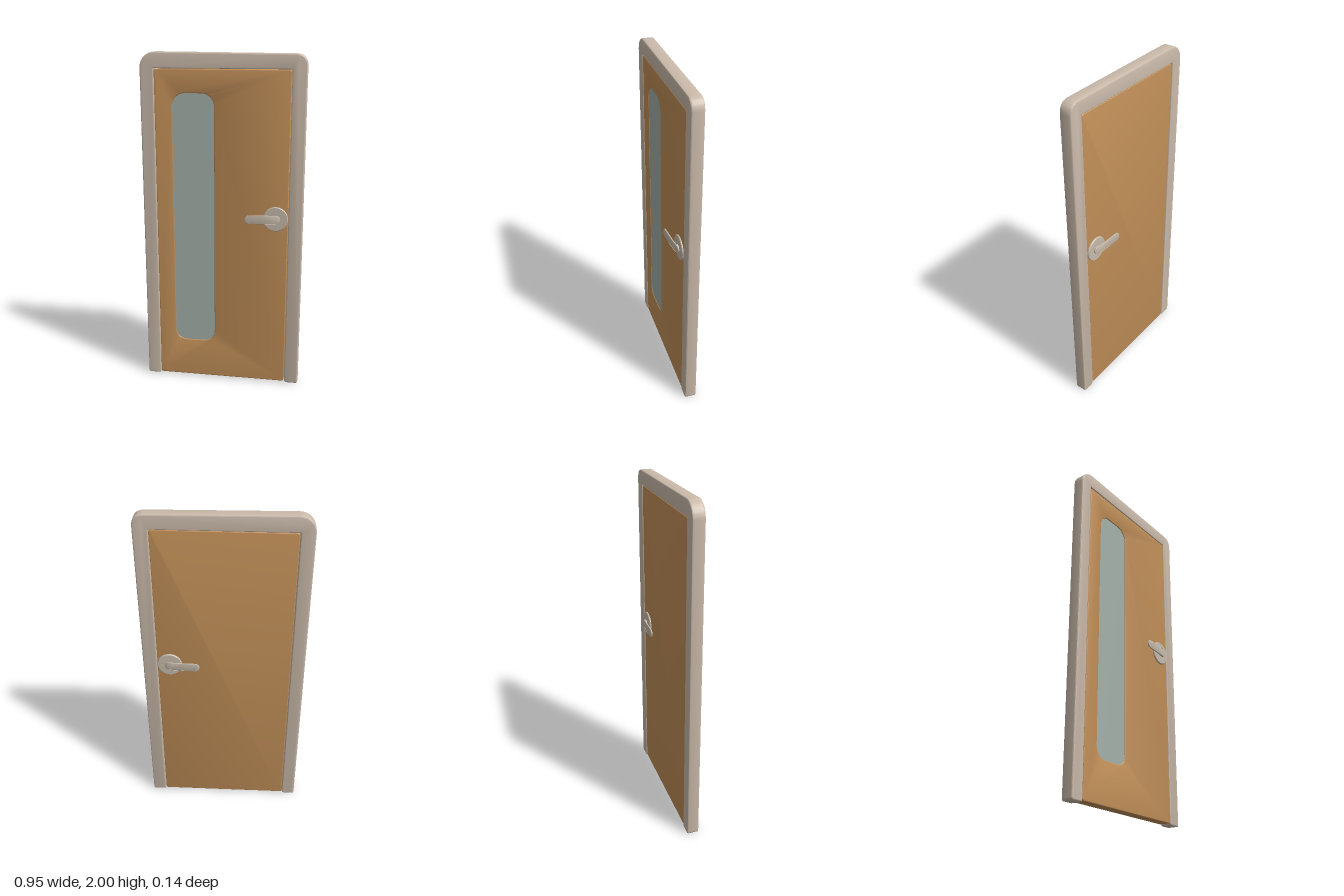
import * as THREE from 'three';
import { toCreasedNormals } from 'three/addons/utils/BufferGeometryUtils.js';

const mat = (name, color) => {
  const m = new THREE.MeshStandardMaterial({ color });
  m.name = name;
  return m;
};

// Rectangle outline with a rounding radius per corner: bl, br, tr, tl
function roundedRect(path, x0, y0, x1, y1, [bl, br, tr, tl]) {
  path.moveTo(x0 + bl, y0);
  path.lineTo(x1 - br, y0);
  path.quadraticCurveTo(x1, y0, x1, y0 + br);
  path.lineTo(x1, y1 - tr);
  path.absarc(x1 - tr, y1 - tr, tr, 0, Math.PI / 2, false);
  path.lineTo(x0 + tl, y1);
  path.absarc(x0 + tl, y1 - tl, tl, Math.PI / 2, Math.PI, false);
  path.lineTo(x0, y0 + bl);
  path.quadraticCurveTo(x0, y0, x0 + bl, y0);
  return path;
}

// Slab between two z planes with softened edges
function slab(shape, z0, z1, bevel) {
  const g = new THREE.ExtrudeGeometry(shape, {
    depth: z1 - z0 - 2 * bevel, curveSegments: 10,
    bevelEnabled: bevel > 0, bevelThickness: bevel, bevelSize: bevel, bevelOffset: -bevel, bevelSegments: 3,
  });
  g.translate(0, 0, z0 + bevel);
  return toCreasedNormals(g, 0.7);
}

// Lever: capsule outline bent outward away from the door
function leverGeometry(tipZ) {
  const xa = 0.166, xb = 0.32, y = 1.055, r = 0.026, n = 16;
  const pts = [];
  for (let i = 0; i <= n; i++) pts.push(new THREE.Vector2(xa + (xb - xa) * i / n, y - r));
  for (let i = 1; i < 10; i++) {
    const a = -Math.PI / 2 + Math.PI * i / 10;
    pts.push(new THREE.Vector2(xb + r * Math.cos(a), y + r * Math.sin(a)));
  }
  for (let i = 0; i <= n; i++) pts.push(new THREE.Vector2(xb + (xa - xb) * i / n, y + r));
  for (let i = 1; i < 10; i++) {
    const a = Math.PI / 2 + Math.PI * i / 10;
    pts.push(new THREE.Vector2(xa + r * Math.cos(a), y + r * Math.sin(a)));
  }
  const g = new THREE.ExtrudeGeometry(new THREE.Shape(pts), {
    depth: 0.004, bevelThickness: 0.002, bevelSize: 0.002, bevelOffset: -0.002, bevelSegments: 2,
  });
  const p = g.attributes.position;
  for (let i = 0; i < p.count; i++) {
    const t = Math.max(0, (0.346 - p.getX(i)) / 0.206);
    const bend = 0.037 + 0.012 * (1 - Math.exp(-7 * t)) + (tipZ - 0.049) * t;
    p.setZ(i, p.getZ(i) - 0.002 + bend);
  }
  return toCreasedNormals(g, 0.7);
}

export function createModel() {
  const model = new THREE.Group();
  model.name = 'door';
  const frameMat = mat('frame beige', 0xcbbbab);
  const woodMat = mat('warm wood', 0xc18f58);
  const glassMat = mat('grey green glass', 0xa3b0a9);
  const metalMat = mat('handle beige', 0xc6baaa);

  const add = (parent, name, geometry, material) => {
    const mesh = new THREE.Mesh(geometry, material);
    mesh.name = name;
    parent.add(mesh);
    return mesh;
  };

  // Frame: open at the floor, larger rounding at the top left
  const arch = new THREE.Shape();
  arch.moveTo(-0.46, 0);
  arch.lineTo(-0.41, 0);
  arch.quadraticCurveTo(-0.395, 0, -0.395, 0.015);
  arch.lineTo(-0.395, 1.908);
  arch.lineTo(0.392, 1.908);
  arch.lineTo(0.392, 0.015);
  arch.quadraticCurveTo(0.392, 0, 0.407, 0);
  arch.lineTo(0.46, 0);
  arch.quadraticCurveTo(0.475, 0, 0.475, 0.015);
  arch.lineTo(0.475, 1.928);
  arch.quadraticCurveTo(0.473, 1.988, 0.415, 1.992);
  arch.lineTo(-0.385, 2);
  arch.absarc(-0.385, 1.91, 0.09, Math.PI / 2, Math.PI, false);
  arch.lineTo(-0.475, 0.015);
  arch.quadraticCurveTo(-0.475, 0, -0.46, 0);
  add(model, 'frame', slab(arch, -0.043, 0.027, 0.007), frameMat);

  // Door leaf: solid back and a front layer with the window opening
  const corners = [0.015, 0.015, 0.015, 0.015];
  const outline = () => roundedRect(new THREE.Shape(), -0.393, 0.008, 0.39, 1.906, corners);
  add(model, 'doorBack', slab(outline(), -0.039, 0.004, 0.004), woodMat);
  const front = outline();
  const win = [0.075, 0.075, 0.075, 0.075];
  front.holes.push(roundedRect(new THREE.Path(), -0.29, 0.248, -0.046, 1.772, win));
  add(model, 'doorFront', slab(front, -0.01, 0.024, 0.004), woodMat);

  // Window pane set just behind the door face
  const pane = roundedRect(new THREE.Shape(), -0.293, 0.245, -0.043, 1.775, win);
  add(model, 'windowPane', slab(pane, 0.012, 0.02, 0), glassMat);

  // Handles on both faces; the back one mirrors about the middle of the leaf
  const rosette = new THREE.LatheGeometry(
    [[0, 0.02], [0.073, 0.02], [0.073, 0.029], [0.069, 0.033], [0, 0.034]].map(([x, y]) => new THREE.Vector2(x, y)), 40);
  rosette.rotateX(Math.PI / 2);
  rosette.translate(0.317, 1.055, 0);
  const spindle = new THREE.CylinderGeometry(0.019, 0.022, 0.02, 24);
  spindle.rotateX(Math.PI / 2);
  spindle.translate(0.32, 1.055, 0.032);
  for (const [side, tipZ] of [['front', 0.061], ['back', 0.052]]) {
    const handle = new THREE.Group();
    handle.name = side + 'Handle';
    add(handle, 'rosette', toCreasedNormals(rosette, 0.5), metalMat);
    add(handle, 'spindle', spindle, metalMat);
    add(handle, 'lever', leverGeometry(tipZ), metalMat);
    if (side === 'back') {
      handle.scale.z = -1;
      handle.position.z = -0.015;
    }
    model.add(handle);
  }
  return model;
}
